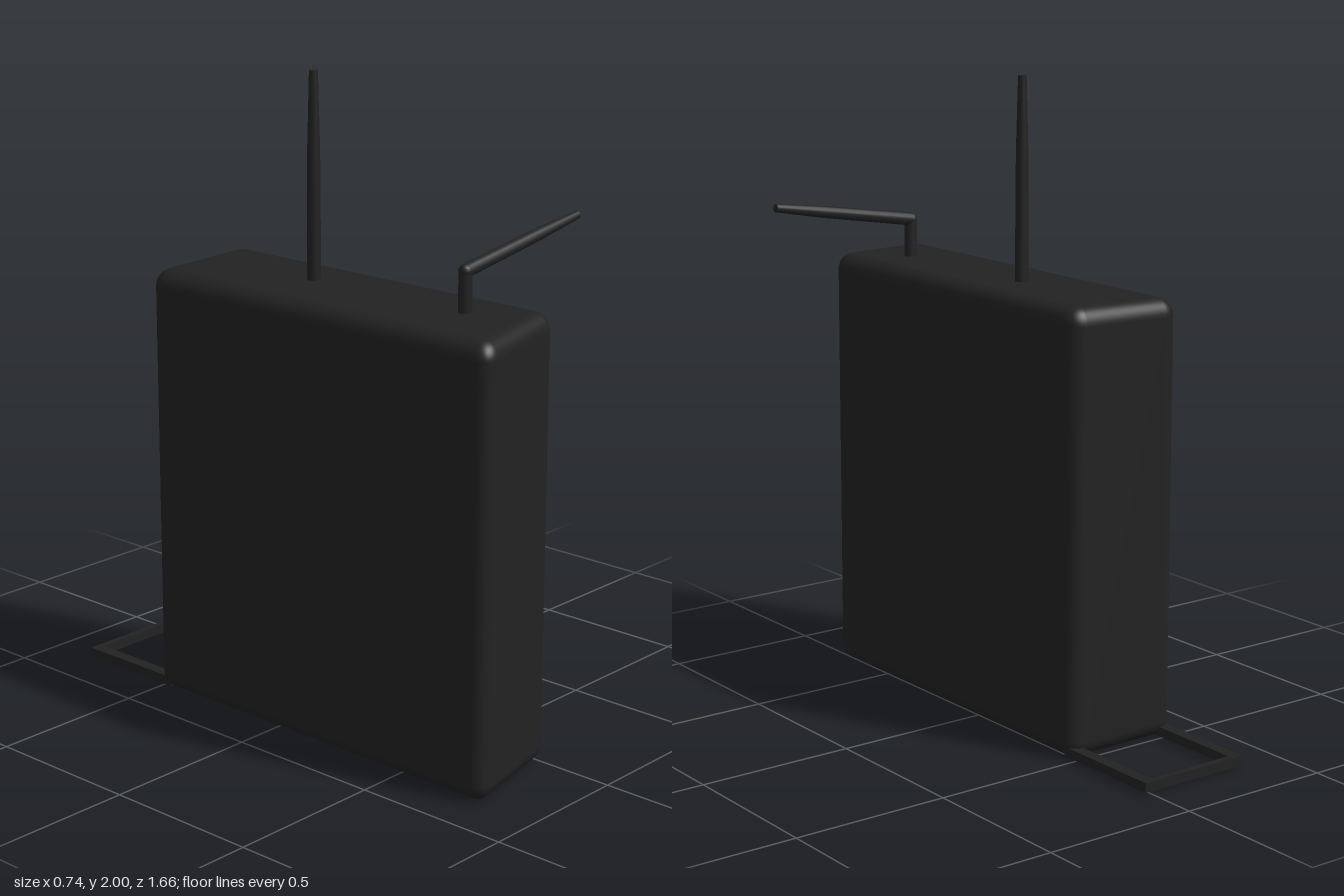
import * as THREE from 'three';
import { RoundedBoxGeometry } from 'three/addons/geometries/RoundedBoxGeometry.js';
import { mergeVertices } from 'three/addons/utils/BufferGeometryUtils.js';

const material = new THREE.MeshStandardMaterial({ color: 0x222222 });

function add(parent, name, geometry, x = 0, y = 0, z = 0) {
  const mesh = new THREE.Mesh(geometry, material);
  mesh.name = name;
  mesh.position.set(x, y, z);
  parent.add(mesh);
  return mesh;
}

// Rounded case with a slanted front and a slight fall across the top
function caseGeometry() {
  const geo = new RoundedBoxGeometry(0.405, 1.375, 1.295, 5, 0.055);
  const p = geo.attributes.position;
  for (let i = 0; i < p.count; i++) {
    const x = p.getX(i);
    if (p.getZ(i) > 0) p.setZ(i, p.getZ(i) - 0.21 * x);
    if (p.getY(i) > 0) p.setY(i, p.getY(i) + 0.025 * (x - 0.2));
  }
  geo.deleteAttribute('normal');
  geo.deleteAttribute('uv');
  const smooth = mergeVertices(geo);
  smooth.computeVertexNormals();
  return smooth;
}

// Tapered rod rising from the origin: straight, then narrowing to a flat tip
function rodGeometry(length) {
  const profile = [[0, 0], [0.021, 0], [0.021, 0], [0.019, length * 0.65],
    [0.013, length], [0.013, length], [0, length]];
  return new THREE.LatheGeometry(profile.map(([r, y]) => new THREE.Vector2(r, y)), 16);
}

export function createModel() {
  const model = new THREE.Group();
  model.name = 'radioPack';

  add(model, 'case', caseGeometry(), -0.168, 0.692, 0.143);

  // Upright antenna
  add(model, 'uprightAntenna', rodGeometry(0.65), -0.145, 1.35, -0.025);

  // Folded antenna: short stub, elbow and a rod leaning out to the left
  const folded = new THREE.Group();
  folded.name = 'foldedAntenna';
  folded.position.set(-0.145, 1.35, 0.56);
  add(folded, 'antennaStub', new THREE.CylinderGeometry(0.02, 0.021, 0.145, 16), 0, 0.0725, 0);
  add(folded, 'antennaElbow', new THREE.SphereGeometry(0.021, 16, 10), 0, 0.145, 0);
  const arm = add(folded, 'antennaArm', rodGeometry(0.517), 0, 0.145, 0);
  arm.rotation.z = -Math.PI / 2 + Math.atan2(0.08, 0.51);
  model.add(folded);

  // Flat open frame at the foot of the back
  const frame = new THREE.Group();
  frame.name = 'rearFrame';
  frame.position.set(-0.166, 0.027, 0);
  for (const side of [-1, 1])
    add(frame, 'frameSideBar', new THREE.BoxGeometry(0.038, 0.03, 0.375), side * 0.169, 0, -0.6475);
  add(frame, 'frameEndBar', new THREE.BoxGeometry(0.376, 0.03, 0.022), 0, 0, -0.824);
  model.add(frame);

  return model;
}
